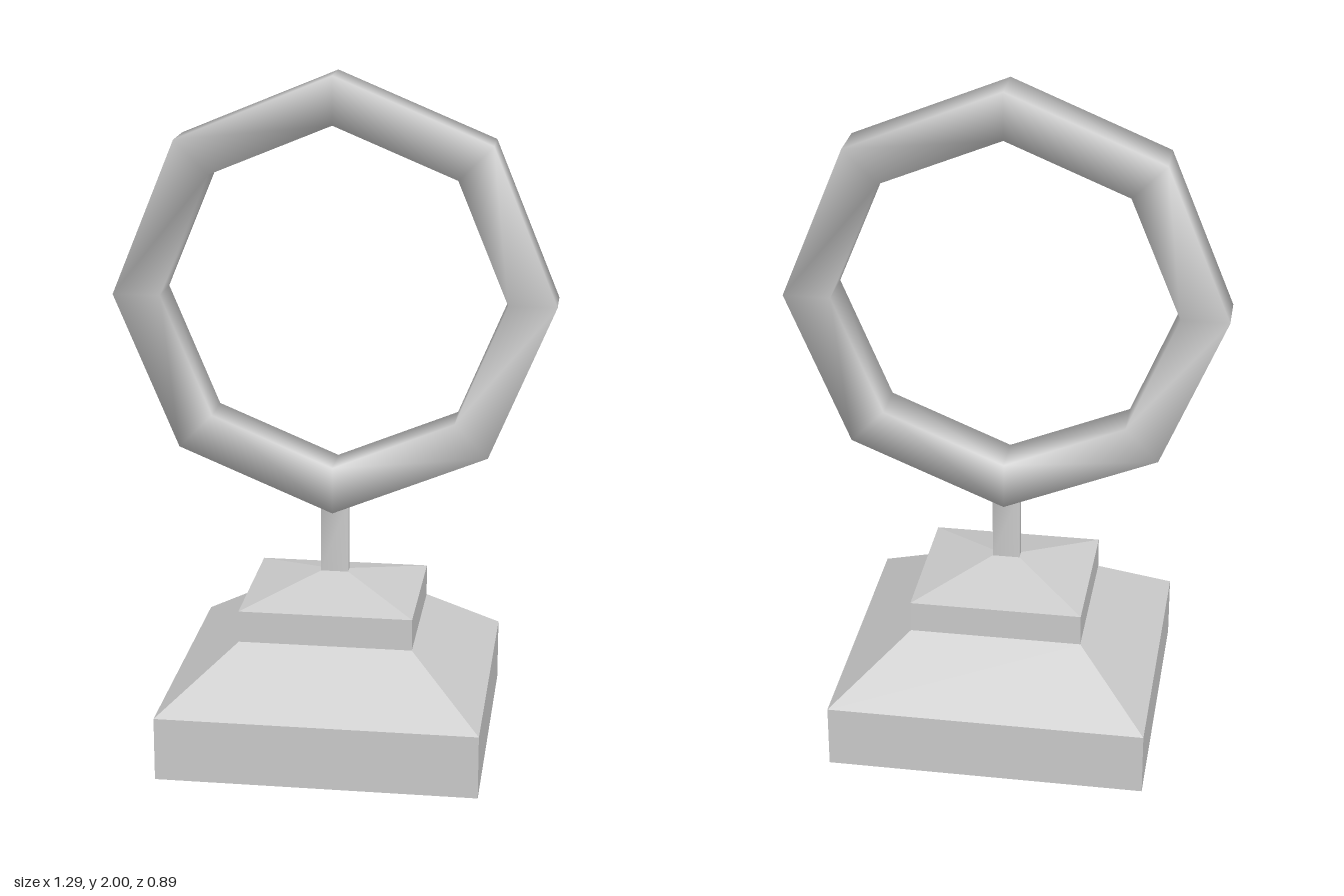
import * as THREE from 'three';
import { mergeVertices } from 'three/addons/utils/BufferGeometryUtils.js';

const material = new THREE.MeshStandardMaterial({ color: 0xcccccc, side: THREE.DoubleSide });

// Open rectangular wall between two levels, each given as [y, halfWidth, halfDepth]
function wall(lower, upper, smooth = false) {
  const corners = ([y, w, d]) => [[w, y, d], [w, y, -d], [-w, y, -d], [-w, y, d]];
  const a = corners(lower), b = corners(upper);
  const positions = [];
  for (let i = 0; i < 4; i++) {
    const j = (i + 1) % 4;
    for (const p of [a[i], a[j], b[j], a[i], b[j], b[i]]) positions.push(...p);
  }
  let geometry = new THREE.BufferGeometry();
  geometry.setAttribute('position', new THREE.Float32BufferAttribute(positions, 3));
  if (smooth) geometry = mergeVertices(geometry);
  geometry.computeVertexNormals();
  return geometry;
}

// Eight-sided ring with a rectangular section, standing upright, softly shaded
function ringGeometry(outer, inner, halfDepth) {
  const section = [[outer, -1], [outer, 1], [inner, 1], [inner, -1], [outer, -1]]
    .map(([r, s]) => new THREE.Vector2(r, s * halfDepth));
  const lathe = new THREE.LatheGeometry(section, 8);
  lathe.deleteAttribute('normal');
  lathe.deleteAttribute('uv');
  const geometry = mergeVertices(lathe, 1e-4);
  geometry.rotateX(Math.PI / 2);
  geometry.computeVertexNormals();
  return geometry;
}

export function createModel() {
  const group = new THREE.Group();
  const add = (name, geometry) => {
    const mesh = new THREE.Mesh(geometry, material);
    mesh.name = name;
    group.add(mesh);
    return mesh;
  };

  // Hollow stepped pedestal, open underneath
  const levels = [
    [0, 0.47, 0.443],
    [0.19, 0.47, 0.443],
    [0.355, 0.256, 0.23],
    [0.45, 0.256, 0.23],
    [0.51, 0.041, 0.016],
  ];
  ['plinth', 'lowerSlope', 'upperBlock', 'capSlope'].forEach((name, i) =>
    add(name, wall(levels[i], levels[i + 1])));

  // Thin post rising from the cap into the ring
  add('post', wall(levels[4], [0.73, 0.041, 0.016], true));

  // Ring
  add('ring', ringGeometry(0.645, 0.505, 0.067)).position.y = 1.355;

  return group;
}
